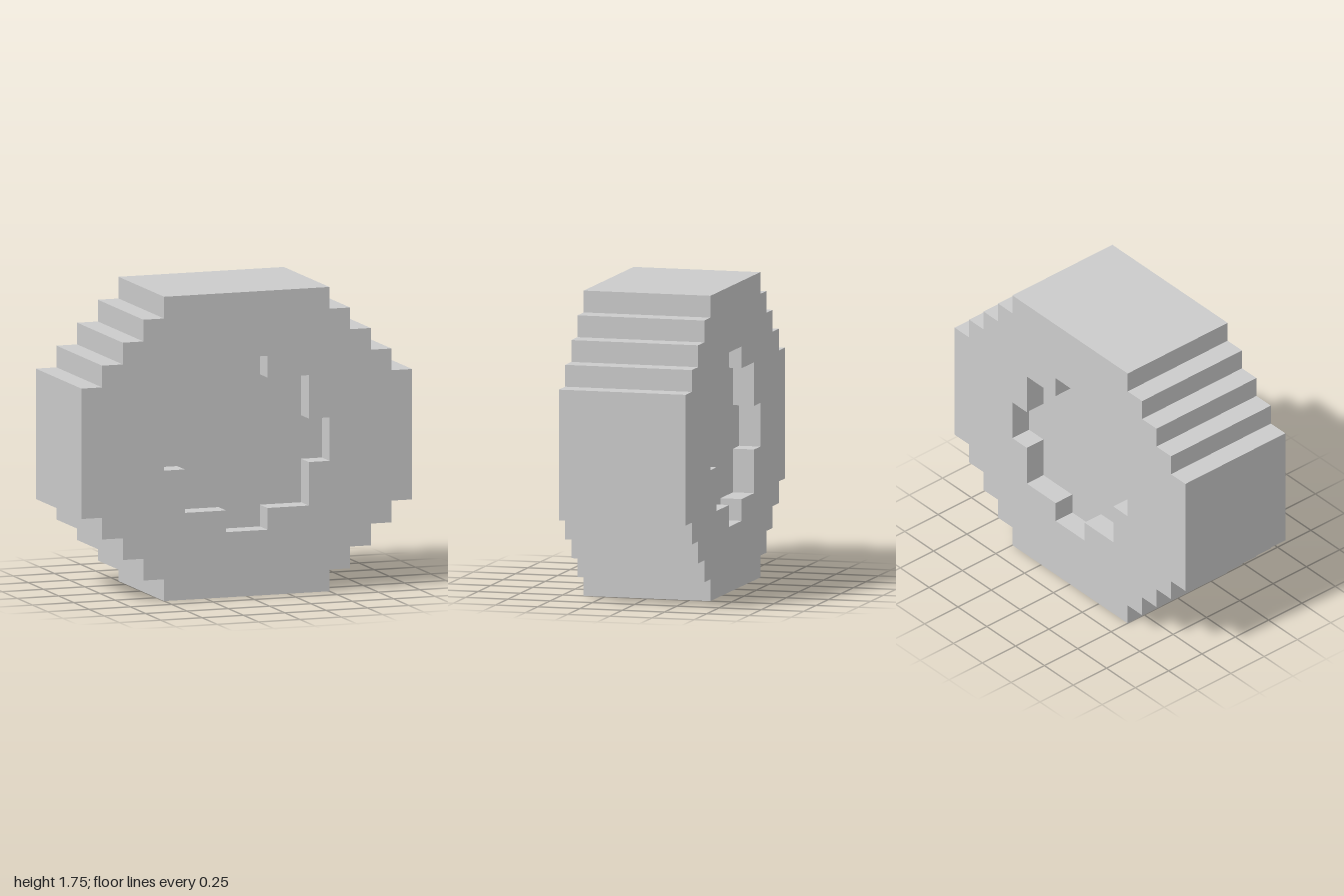
import * as THREE from 'three';

const UNIT = 0.125;      // size of one block step
const CENTRE_Y = 0.875;
const DEPTH = 0.75;
const RECESS = 0.125;

// Mirror a first-quadrant staircase (in block units) into a closed counter-clockwise outline.
function mirroredOutline(quadrant) {
  const flipped = [...quadrant].reverse();
  return [
    ...quadrant,
    ...flipped.map(([x, y]) => [-x, y]),
    ...quadrant.map(([x, y]) => [-x, -y]),
    ...flipped.map(([x, y]) => [x, -y]),
  ].map(([x, y]) => new THREE.Vector2(x * UNIT, y * UNIT));
}

function extrudedPart(name, shape, depth, material) {
  const geometry = new THREE.ExtrudeGeometry(shape, { depth, bevelEnabled: false });
  geometry.translate(0, CENTRE_Y, -depth / 2);
  const mesh = new THREE.Mesh(geometry, material);
  mesh.name = name;
  return mesh;
}

export function createModel() {
  const group = new THREE.Group();
  group.name = 'blockWheel';
  const material = new THREE.MeshStandardMaterial({ color: 0xcccccc, flatShading: true });

  // Stepped rim: flat sides joined by four equal stairs at each corner
  const rimQuadrant = [[8, 3]];
  for (let i = 0; i < 4; i++) rimQuadrant.push([7 - i, 3 + i], [7 - i, 4 + i]);
  // the last stair meets the flat top
  rimQuadrant.splice(-2, 2, [4, 6], [4, 7]);
  const hubOutline = mirroredOutline([[4, 1], [3, 1], [3, 3], [1, 3], [1, 4]]);

  const tyre = new THREE.Shape(mirroredOutline(rimQuadrant));
  tyre.holes.push(new THREE.Path(hubOutline));
  group.add(extrudedPart('tyre', tyre, DEPTH, material));

  // Hub, recessed equally on both faces
  group.add(extrudedPart('hub', new THREE.Shape(hubOutline), DEPTH - 2 * RECESS, material));

  return group;
}
